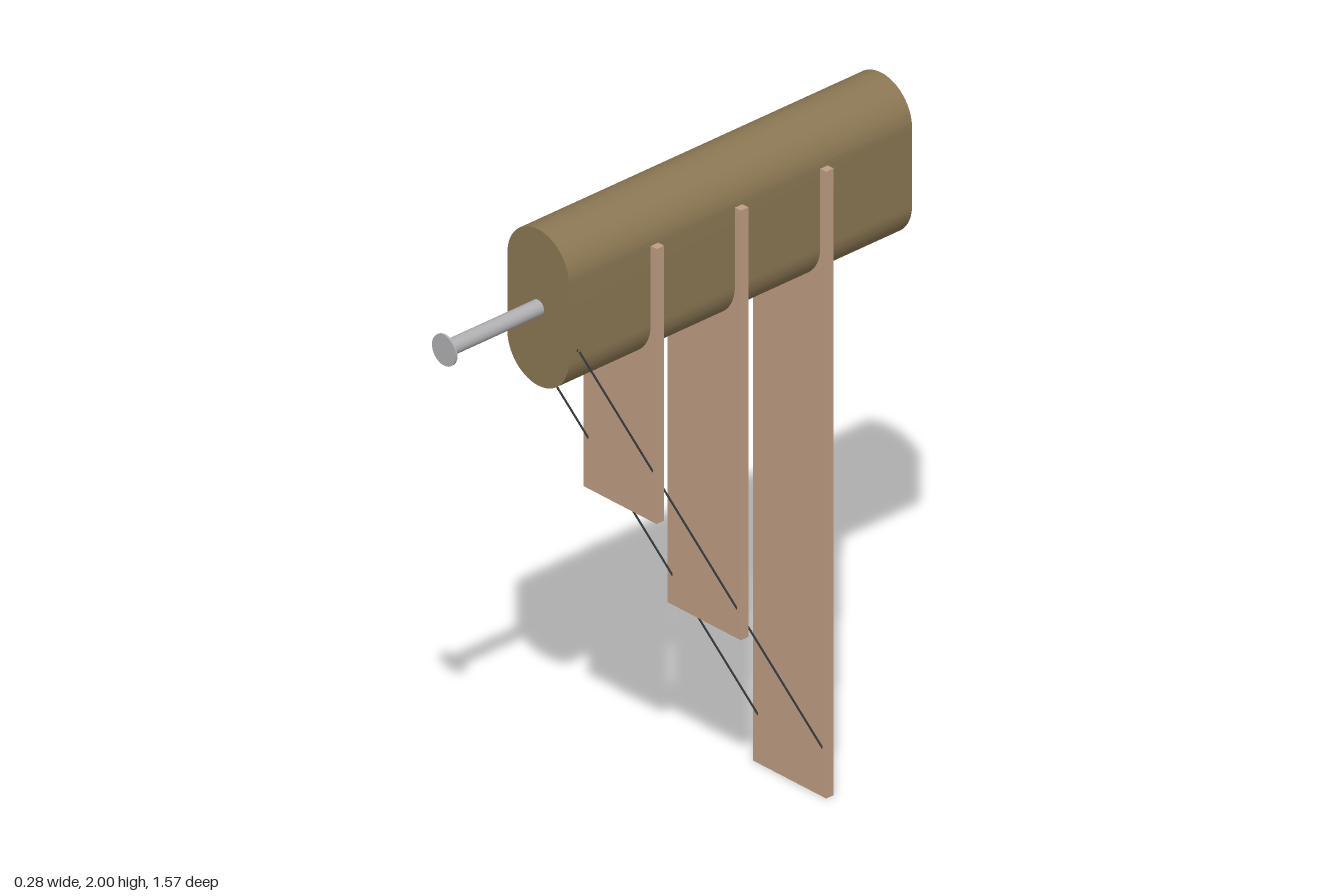
import * as THREE from 'three';
import { toCreasedNormals } from 'three/addons/utils/BufferGeometryUtils.js';

const material = (name, color) => {
  const m = new THREE.MeshStandardMaterial({ color });
  m.name = name;
  return m;
};

// Upright stadium outline: half-round ends joined by straight sides
function stadium(path, r, half) {
  path.absarc(0, half, r, 0, Math.PI, false);
  path.absarc(0, -half, r, Math.PI, Math.PI * 2, false);
  path.closePath();
  return path;
}

export function createModel() {
  const group = new THREE.Group();
  const olive = material('olive brown', 0x8b7753);
  const wood = material('light wood', 0xbf9d83);
  const metal = material('grey metal', 0xb0b0b2);
  const cord = material('dark cord', 0x3c4446);

  const add = (name, geometry, mat, x = 0, y = 0, z = 0) => {
    const mesh = new THREE.Mesh(geometry, mat);
    mesh.name = name;
    mesh.position.set(x, y, z);
    group.add(mesh);
    return mesh;
  };

  const R = 0.118, HALF = 0.117, MID = 1.765;

  // Long rounded body
  const bodyGeo = new THREE.ExtrudeGeometry(stadium(new THREE.Shape(), R, HALF),
    { depth: 1.235, bevelEnabled: false, curveSegments: 32 });
  add('body', toCreasedNormals(bodyGeo, 0.5), olive, 0, MID, -0.787);

  // Three hanging boards, each notched to straddle the body
  const boards = [[0.14, 1.058], [-0.163, 0.593], [-0.47, 0]];
  const W = 0.141, TOP = 1.885, T = 0.027;
  for (const [z, bottom] of boards) {
    const s = new THREE.Shape();
    s.moveTo(-W, bottom);
    s.lineTo(W, bottom);
    s.lineTo(W, TOP);
    s.lineTo(R, TOP);
    s.lineTo(R, MID - HALF);
    s.absarc(0, MID - HALF, R, 0, -Math.PI, true);
    s.lineTo(-R, TOP);
    s.lineTo(-W, TOP);
    s.closePath();
    const geo = new THREE.ExtrudeGeometry(s, { depth: T, bevelEnabled: false, curveSegments: 24 });
    add('hangingBoard', toCreasedNormals(geo, 0.5), wood, 0, 0, z - T / 2);
  }

  // Push rod with a thin end disc
  add('rod', new THREE.CylinderGeometry(0.023, 0.023, 0.36, 32), metal, 0, MID, 0.605).rotation.x = Math.PI / 2;
  add('rodDisc', new THREE.CylinderGeometry(0.046, 0.046, 0.006, 32), metal, 0, MID, 0.784).rotation.x = Math.PI / 2;

  // Slanted cords threaded through the boards, pinned to the body sides
  for (const side of [-1, 1]) {
    const path = new THREE.CurvePath();
    const pin = new THREE.Vector3(side * 0.108, 1.672, 0.417);
    const start = new THREE.Vector3(side * 0.124, 1.672, 0.417);
    const end = new THREE.Vector3(side * 0.124, 0.097, -0.486);
    path.add(new THREE.LineCurve3(start, end));
    add('cord', new THREE.TubeGeometry(path, 4, 0.003, 8), cord);
    add('cordPin', new THREE.TubeGeometry(new THREE.LineCurve3(pin, start), 1, 0.004, 8), cord);
  }

  return group;
}
